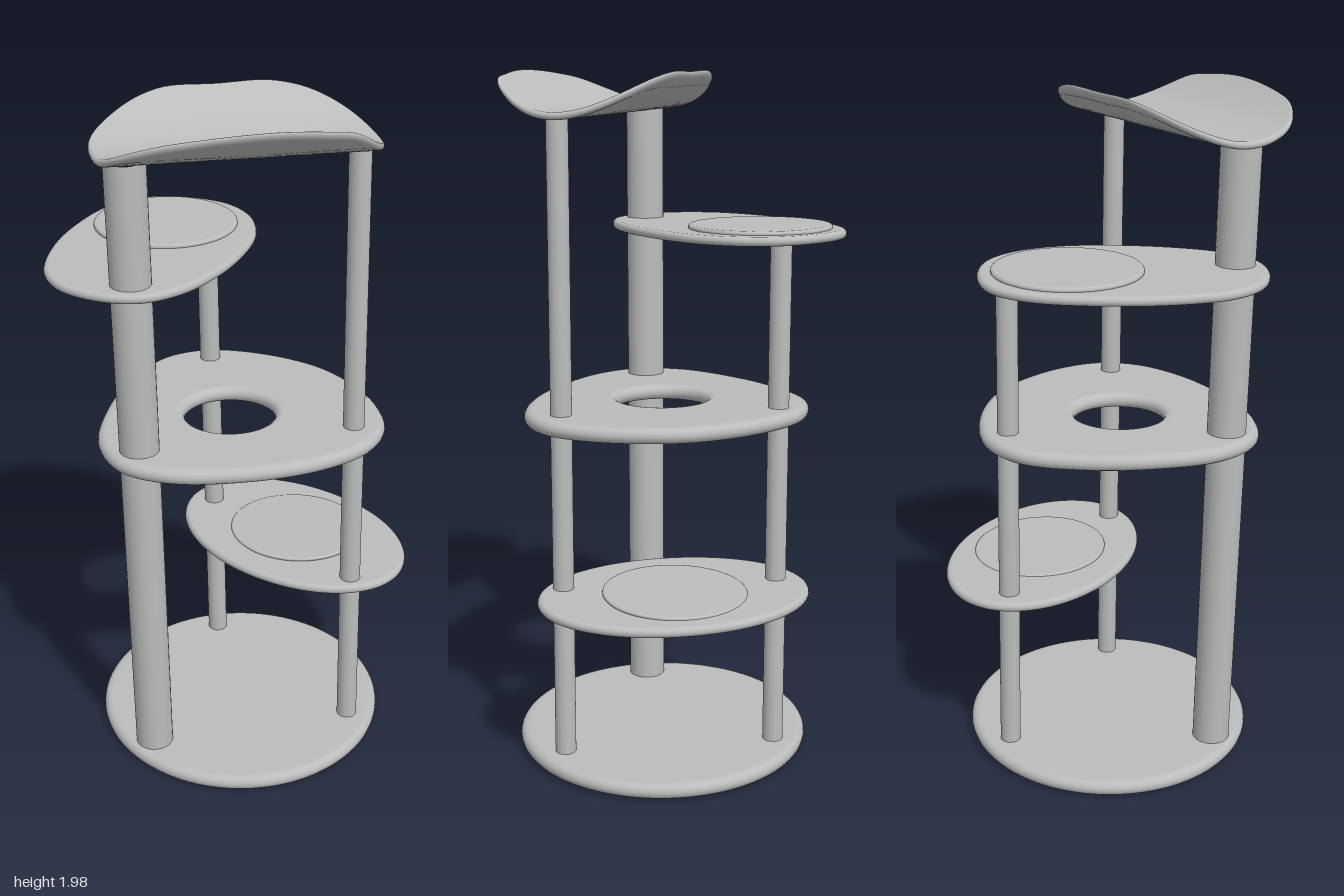
import * as THREE from 'three';

// Points of an oval in plan, running from +x towards +z
function oval(cx, cz, rx, rz = rx) {
  return Array.from({ length: 24 }, (_, i) => {
    const a = (i / 24) * Math.PI * 2;
    return [cx + rx * Math.cos(a), cz + rz * Math.sin(a)];
  });
}

// Slab with a rounded rim, lofted from a centre (or a round hole) to a plan outline.
// height(x, z) gives the middle surface.
function slab(outline, [cx, cz], thickness, height, hole = 0) {
  const n = 96;
  const curve = new THREE.CatmullRomCurve3(outline.map(([x, z]) => new THREE.Vector3(x, 0, z)), true);
  const rim = curve.getSpacedPoints(n).slice(0, n);
  const r = thickness / 2;

  // Cross-section as [share of the way outwards, extra distance, height offset]
  const section = [];
  const flat = [0, 0.1, 0.25, 0.4, 0.55, 0.7, 0.85, 0.95, 1];
  const arc = (s, from) => {
    for (let k = 1; k < 8; k++) {
      const a = from - (k / 8) * Math.PI;
      section.push([s, r * Math.cos(a), r * Math.sin(a)]);
    }
  };
  flat.forEach((s) => section.push([s, 0, r]));
  arc(1, Math.PI / 2);
  [...flat].reverse().forEach((s) => section.push([s, 0, -r]));
  if (hole) {
    arc(0, -Math.PI / 2);
    section.push([0, 0, r]);
  }

  const position = [];
  const index = [];
  section.forEach(([s, extra, dy], i) => {
    rim.forEach((p, j) => {
      const dx = p.x - cx;
      const dz = p.z - cz;
      const length = Math.hypot(dx, dz);
      const inner = hole ? hole + r : 0;
      const d = inner + (length - r - inner) * s + extra;
      const x = cx + (dx / length) * d;
      const z = cz + (dz / length) * d;
      position.push(x, height(x, z) + dy, z);
      if (i < section.length - 1) {
        const a = i * n + j;
        const b = i * n + ((j + 1) % n);
        index.push(a, b, a + n, b, b + n, a + n);
      }
    });
  });
  const geometry = new THREE.BufferGeometry();
  geometry.setAttribute('position', new THREE.Float32BufferAttribute(position, 3));
  geometry.setIndex(index);
  geometry.computeVertexNormals();
  return geometry;
}

// Slightly leaning round post between two points
function post(bottom, top, radius) {
  const path = new THREE.LineCurve3(new THREE.Vector3(...bottom), new THREE.Vector3(...top));
  return new THREE.TubeGeometry(path, 1, radius, 32);
}

export function createModel() {
  const group = new THREE.Group();
  const grey = new THREE.MeshStandardMaterial({ color: 0xbcbcbc });
  grey.name = 'grey';
  const add = (name, geometry) => {
    const mesh = new THREE.Mesh(geometry, grey);
    mesh.name = name;
    group.add(mesh);
  };

  // Round base
  add('base', slab(oval(0.008, 0.04, 0.43), [0.008, 0.04], 0.046, (x) => 0.035 + 0.008 * x));

  // Posts
  add('thickPost', post([-0.345, 0.04, 0.015], [-0.383, 1.87, 0.005], 0.055));
  add('frontPost', post([0.15, 0.04, 0.36], [0.12, 1.875, 0.345], 0.03));
  add('backPost', post([0.207, 0.04, -0.25], [0.175, 1.53, -0.26], 0.03));

  // Low oval shelf and its pad
  add('lowShelf', slab(oval(0.23, 0.053, 0.27, 0.388), [0.23, 0.053], 0.028, (x) => 0.548 - 0.01 * x));
  add('lowPad', slab(oval(0.245, 0.055, 0.2, 0.205), [0.245, 0.055], 0.012,
    (x, z) => 0.561 - 0.015 * (x - 0.245) + 0.02 * (z - 0.055)));

  // Middle shelf with a round hole
  const middle = [
    [0.37, 0.03], [0.35, 0.17], [0.29, 0.31], [0.2, 0.41], [0.08, 0.445], [-0.08, 0.41],
    [-0.25, 0.31], [-0.4, 0.16], [-0.45, 0.02], [-0.4, -0.12], [-0.25, -0.25],
    [-0.08, -0.335], [0.1, -0.37], [0.23, -0.31], [0.33, -0.15],
  ];
  add('middleShelf', slab(middle, [-0.03, 0.03], 0.044, (x) => 1.041 + 0.014 * x, 0.13));

  // High shelf and its pad
  const high = [
    [0.245, -0.25], [0.22, -0.13], [0.13, -0.02], [0, 0.055], [-0.15, 0.105], [-0.3, 0.12],
    [-0.41, 0.085], [-0.475, 0], [-0.5, -0.12], [-0.465, -0.23], [-0.36, -0.335],
    [-0.2, -0.43], [0, -0.488], [0.12, -0.465], [0.2, -0.38],
  ];
  add('highShelf', slab(high, [-0.12, -0.19], 0.026, (x) => 1.535 + 0.015 * x));
  add('highPad', slab(oval(0, -0.25, 0.202, 0.206), [0, -0.25], 0.016, (x) => 1.551 + 0.012 * x));

  // Hammock seat: low at the two posts, curling up along both long sides
  const seat = [
    [0.225, 0.23], [0.2, 0.33], [0.12, 0.42], [-0.05, 0.48], [-0.13, 0.45], [-0.25, 0.38],
    [-0.39, 0.26], [-0.465, 0.17], [-0.49, 0.07], [-0.44, -0.05], [-0.37, -0.135],
    [-0.25, -0.16], [-0.13, -0.135], [0, -0.05], [0.13, 0.04], [0.2, 0.13],
  ];
  add('hammockSeat', slab(seat, [-0.13, 0.16], 0.02, (x, z) => {
    const across = -0.57 * (x + 0.13) + 0.82 * (z - 0.16);
    return 1.873 + 0.115 * (across / 0.26) ** 2;
  }));

  return group;
}
